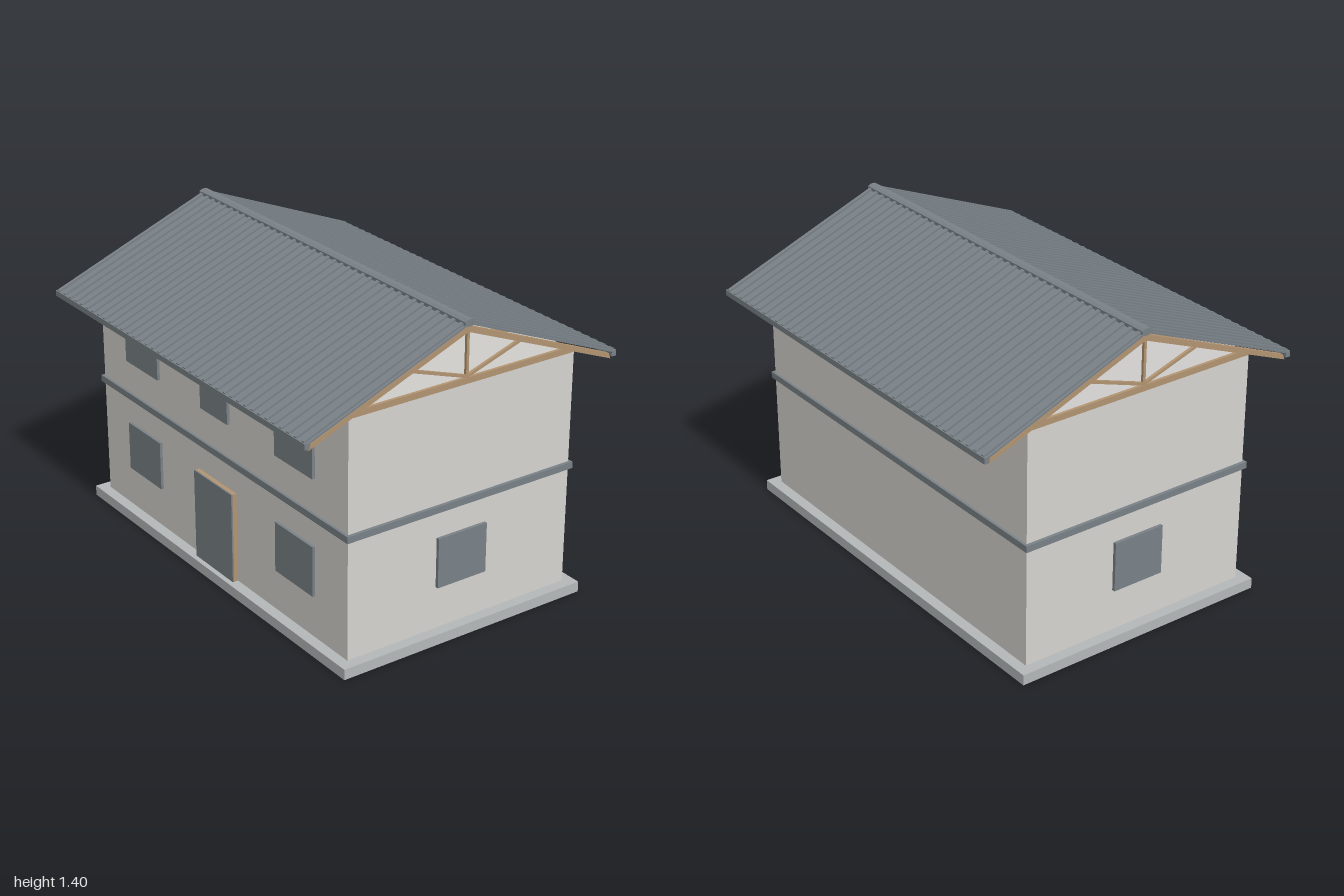
import * as THREE from 'three';

const mat = (name, color) => {
  const m = new THREE.MeshStandardMaterial({ color });
  m.name = name;
  return m;
};

export function createModel() {
  const house = new THREE.Group();
  house.name = 'house';
  const wall = mat('plaster', 0xd8d6d1);
  const gableWhite = mat('gable board', 0xe6e5e2);
  const concrete = mat('concrete', 0xb6babb);
  const metal = mat('grey metal', 0x7b8389);
  const wood = mat('timber', 0xb49672);

  // Box given by its minimum and maximum corners
  function block(name, material, x0, x1, y0, y1, z0, z1, parent = house) {
    const mesh = new THREE.Mesh(new THREE.BoxGeometry(x1 - x0, y1 - y0, z1 - z0), material);
    mesh.position.set((x0 + x1) / 2, (y0 + y1) / 2, (z0 + z1) / 2);
    mesh.name = name;
    parent.add(mesh);
    return mesh;
  }

  // Outline in (z, y), extruded along x and centred at x
  function profile(name, material, points, x, width, parent = house) {
    const shape = new THREE.Shape(points.map(([z, y]) => new THREE.Vector2(-z, y)));
    const geo = new THREE.ExtrudeGeometry(shape, { depth: width, bevelEnabled: false });
    geo.translate(0, 0, -width / 2).rotateY(Math.PI / 2);
    const mesh = new THREE.Mesh(geo, material);
    mesh.position.x = x;
    mesh.name = name;
    parent.add(mesh);
    return mesh;
  }

  // Base, walls and the band between storeys
  block('baseSlab', concrete, -1, 1, 0, 0.048, -0.62, 0.62);
  block('walls', wall, -0.95, 0.95, 0.048, 1.126, -0.57, 0.57);
  block('storeyBand', metal, -0.965, 0.965, 0.59, 0.62, -0.582, 0.582);

  // Windows and door
  for (const x of [-0.592, 0.59]) {
    block('lowerWindow', metal, x - 0.135, x + 0.135, 0.242, 0.47, 0.565, 0.583);
    block('upperWindow', metal, x - 0.135, x + 0.135, 0.775, 1.0, 0.565, 0.583);
  }
  block('middleWindow', metal, -0.107, 0.104, 0.775, 1.0, 0.565, 0.583);
  block('leftWindow', metal, 0.945, 0.965, 0.242, 0.47, -0.125, 0.125);
  block('rightWindow', metal, -0.965, -0.945, 0.242, 0.47, -0.125, 0.125);
  block('doorFrame', wood, -0.148, 0.146, 0.048, 0.468, 0.565, 0.59);
  block('doorLeaf', metal, -0.148, 0.146, 0.048, 0.468, 0.59, 0.597);

  // Straight timber of given thickness between two (z, y) points
  function strut(parent, z0, y0, z1, y1, t) {
    const len = Math.hypot(z1 - z0, y1 - y0);
    const mesh = new THREE.Mesh(new THREE.BoxGeometry(0.018, t, len), wood);
    mesh.position.set(0, (y0 + y1) / 2, (z0 + z1) / 2);
    mesh.rotation.x = -Math.atan2(y1 - y0, z1 - z0);
    mesh.name = 'trussStrut';
    parent.add(mesh);
  }

  // Seven roof trusses
  for (let i = -3; i <= 3; i++) {
    const truss = new THREE.Group();
    truss.name = 'roofTruss';
    truss.position.x = i * 0.3175;
    profile('rafters', wood, [
      [-0.755, 1.071], [-0.765, 1.045], [0, 1.348], [0.765, 1.045], [0.755, 1.071], [0, 1.375],
    ], 0, 0.02, truss);
    block('bottomChord', wood, -0.01, 0.01, 1.126, 1.153, -0.555, 0.555, truss);
    strut(truss, 0, 1.15, 0, 1.355, 0.013);
    for (const s of [-1, 1]) strut(truss, 0, 1.157, s * 0.275, 1.248, 0.013);
    house.add(truss);
  }

  // Boards closing the gables
  for (const s of [-1, 1]) {
    profile('gableBoard', gableWhite, [[-0.56, 1.126], [0.56, 1.126], [0, 1.365]], s * 0.945, 0.008);
  }

  // Ribbed metal roof: one sheet and its ribs for each slope
  const ridgeY = 1.389, pitch = Math.atan(0.4), run = 0.78 / Math.cos(pitch);
  for (const s of [-1, 1]) {
    const slope = new THREE.Group();
    slope.name = s > 0 ? 'frontSlope' : 'backSlope';
    slope.position.y = ridgeY;
    slope.rotation.x = s * pitch;
    const z0 = Math.min(0, s * run), z1 = Math.max(0, s * run);
    block('roofSheet', metal, -0.97, 0.97, -0.006, 0.002, z0, z1, slope);
    for (let i = 0; i < 39; i++) {
      const x = -0.95 + i * 0.05;
      block('roofRib', metal, x - 0.009, x + 0.009, 0, 0.011, z0, z1, slope);
    }
    house.add(slope);
    block('eaveTrim', metal, -0.97, 0.97, 1.056, 1.082, s > 0 ? 0.764 : -0.788, s > 0 ? 0.788 : -0.764);
  }
  profile('ridgeCap', metal, [
    [-0.025, 1.38], [-0.01, 1.374], [0.01, 1.374], [0.025, 1.38],
    [0.025, 1.396], [0.012, 1.404], [-0.012, 1.404], [-0.025, 1.396],
  ], 0, 1.94);

  return house;
}
